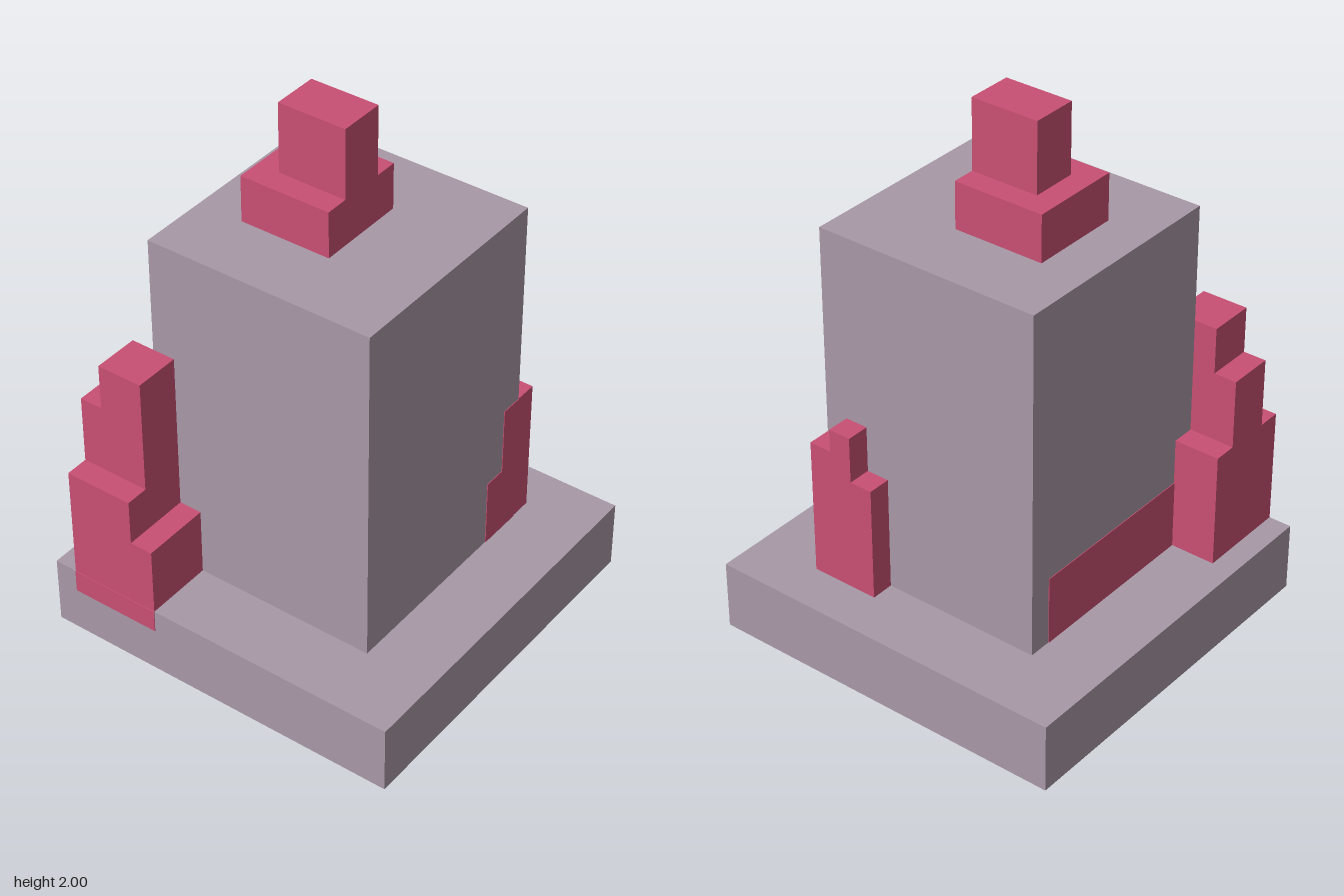
import * as THREE from 'three';

// The whole model sits on a grid of 23 units in height
const U = 2 / 23;

export function createModel() {
  const group = new THREE.Group();
  const stone = new THREE.MeshStandardMaterial({ color: 0xa898a6 });
  stone.name = 'mauve grey';
  const rose = new THREE.MeshStandardMaterial({ color: 0xc95073 });
  rose.name = 'rose';

  // Box from grid limits along x, y and z
  const block = (name, material, [x0, x1], [y0, y1], [z0, z1], parent = group) => {
    const geometry = new THREE.BoxGeometry((x1 - x0) * U, (y1 - y0) * U, (z1 - z0) * U);
    geometry.translate((x0 + x1) / 2 * U, (y0 + y1) / 2 * U, (z0 + z1) / 2 * U);
    const mesh = new THREE.Mesh(geometry, material);
    mesh.name = name;
    parent.add(mesh);
  };
  const cluster = (name) => {
    const g = new THREE.Group();
    g.name = name;
    group.add(g);
    return g;
  };

  // Plinth and tower
  block('plinth', stone, [-8, 8], [0, 3], [-8, 8]);
  block('tower', stone, [-5, 5], [3, 18], [-5, 5]);

  // Stepped finial
  const finial = cluster('finial');
  block('finialBase', rose, [-2, 2], [18, 20], [-3, 1], finial);
  block('finialTop', rose, [-1, 1], [20, 23], [-2, 1], finial);

  // Stepped crystal on the left side, near the front corner
  const small = cluster('smallCrystal');
  [8, 10, 9].forEach((top, i) =>
    block('smallCrystalStep', rose, [5, 6], [3, top], [2 + i, 3 + i], small));

  // Large crystal around the rear right corner
  const large = cluster('largeCrystal');
  block('sideStep', rose, [-8, -7], [3, 8], [-7, -4], large);
  block('rearStep', rose, [-7, -5], [3, 11], [-7, -6], large);
  block('peak', rose, [-7, -5], [3, 13], [-6, -4], large);
  block('frontStep', rose, [-8, -5], [3, 6], [-4, -3], large);
  block('innerStep', rose, [-5, -4], [3, 8], [-7, -5], large);

  // Thin flush inlays in the tower and plinth faces
  const t = 0.03;
  const inlays = cluster('inlays');
  block('frontInlayLow', rose, [3, 4], [3, 6], [5, 5 + t], inlays);
  block('frontInlayHigh', rose, [4, 5], [3, 9], [5, 5 + t], inlays);
  block('rearInlay', rose, [-4, 4], [3, 6], [-5 - t, -5], inlays);
  block('plinthInlay', rose, [-8 - t, -8], [2, 3], [-7, -3], inlays);

  return group;
}
